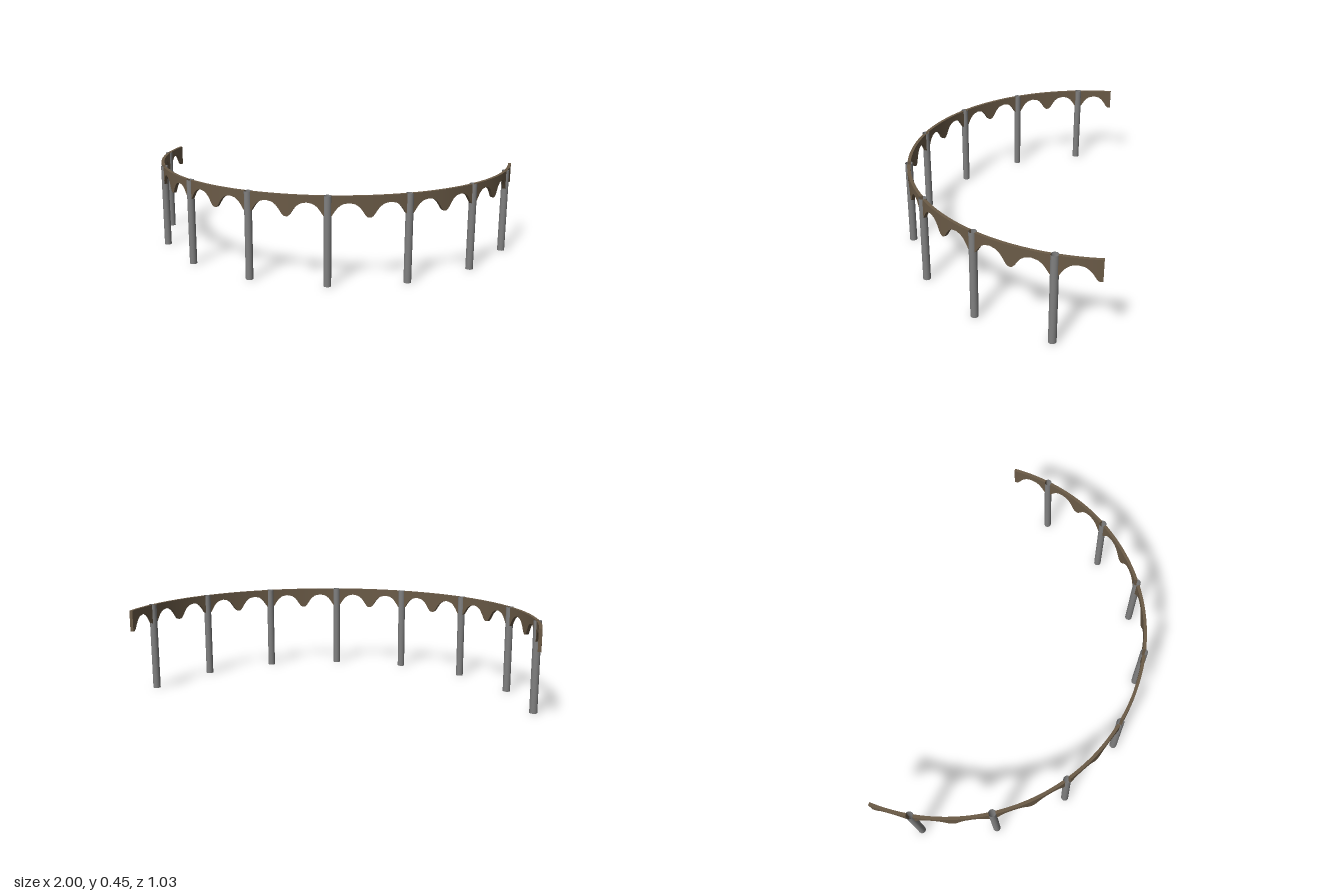
import * as THREE from 'three';
import { toCreasedNormals } from 'three/addons/utils/BufferGeometryUtils.js';

const RADIUS = 0.993, CENTRE_Z = -0.483, THICKNESS = 0.016;
const TOP = 0.446, APEX = 0.412, SPRING = 0.34;
const BAY = THREE.MathUtils.degToRad(22.87); // angle from column to column
const END = BAY * 4 + 0.006;
const COLUMN_RADIUS = 0.019;

const onArc = (angle, radius, y) =>
  new THREE.Vector3(Math.sin(angle) * radius, y, CENTRE_Z + Math.cos(angle) * radius);

// Underside of the wall: two arches per bay, with small rounded drops between
const rise = [[0, 0], [0.1, 0.01], [0.2, 0.13], [0.35, 0.46], [0.5, 0.72], [0.7, 0.92], [1, 1]];
function undersideAt(angle) {
  const t = Math.abs(angle) / (BAY / 2);
  const u = Math.min(1, 2 * Math.abs(t - Math.round(t)));
  let i = 0;
  while (i < rise.length - 2 && u > rise[i + 1][0]) i++;
  const [u0, h0] = rise[i], [u1, h1] = rise[i + 1];
  const h = h0 + (h1 - h0) * (u - u0) / (u1 - u0);
  return SPRING + (APEX - SPRING) * h;
}

// Curved wall panel swept through four-cornered sections
function wallGeometry(from, to) {
  const steps = Math.max(20, Math.round((to - from) / BAY * 48));
  const inner = RADIUS - THICKNESS / 2, outer = RADIUS + THICKNESS / 2;
  const rings = [];
  for (let i = 0; i <= steps; i++) {
    const a = from + (to - from) * i / steps;
    const low = undersideAt(a);
    rings.push([onArc(a, outer, low), onArc(a, outer, TOP), onArc(a, inner, TOP), onArc(a, inner, low)]);
  }
  const points = [];
  const quad = (a, b, c, d) => points.push(a, b, c, a, c, d);
  for (let i = 0; i < steps; i++) {
    const r = rings[i], s = rings[i + 1];
    for (let k = 0; k < 4; k++) {
      const n = (k + 1) % 4;
      quad(r[k], s[k], s[n], r[n]);
    }
  }
  quad(...rings[0]);
  quad(...rings[steps].slice().reverse());
  return toCreasedNormals(new THREE.BufferGeometry().setFromPoints(points), 0.6);
}

export function createModel() {
  const model = new THREE.Group();
  model.name = 'curvedArcade';
  const wood = new THREE.MeshStandardMaterial({ color: 0x6b5b47 });
  const stone = new THREE.MeshStandardMaterial({ color: 0x808080, side: THREE.DoubleSide });

  // Eight hollow columns
  const columnGeometry = new THREE.CylinderGeometry(COLUMN_RADIUS, COLUMN_RADIUS, TOP, 24, 1, true);
  const angles = [];
  for (let i = 0; i < 8; i++) {
    const angle = BAY * (i - 3.5);
    angles.push(angle);
    const column = new THREE.Mesh(columnGeometry, stone);
    column.name = 'column' + (i + 1);
    column.position.copy(onArc(angle, RADIUS, TOP / 2));
    model.add(column);
  }

  // Arched panels between the columns, and a single arch past each end column
  const gap = 0.0165 / RADIUS;
  for (let i = 0; i <= 8; i++) {
    const from = i === 0 ? -END : angles[i - 1] + gap;
    const to = i === 8 ? END : angles[i] - gap;
    const panel = new THREE.Mesh(wallGeometry(from, to), wood);
    panel.name = 'archedPanel' + (i + 1);
    model.add(panel);
  }
  return model;
}
